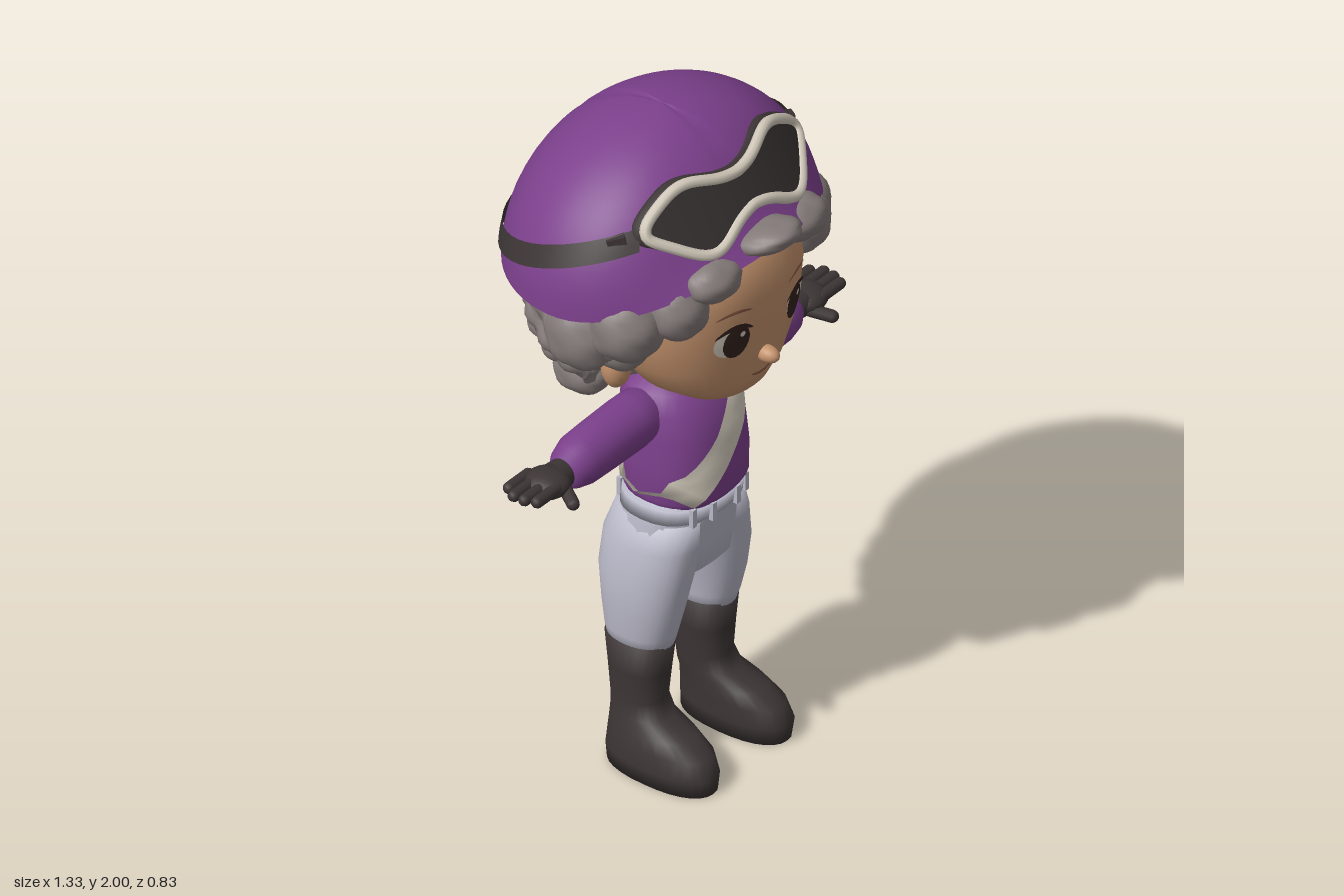
import * as THREE from 'three';
import { mergeVertices } from 'three/addons/utils/BufferGeometryUtils.js';

const mat = (name, color, side = THREE.FrontSide) => {
  const m = new THREE.MeshStandardMaterial({ color, side });
  m.name = name;
  return m;
};
const M = {
  purple: mat('purple cloth', 0x7c408c, THREE.DoubleSide),
  dark: mat('dark leather', 0x3d3535, THREE.DoubleSide),
  lens: mat('smoked lens', 0x363030, THREE.DoubleSide),
  cream: mat('cream', 0xd2cabb, THREE.DoubleSide),
  grey: mat('grey hair', 0x847b79),
  skin: mat('skin', 0xc4926c),
  trousers: mat('pale trousers', 0xb9b8c7),
  eye: mat('eye brown', 0x33211b, THREE.DoubleSide),
  lip: mat('lip brown', 0x8d5a46, THREE.DoubleSide),
};

// Grid of points to a smooth surface: rows go up, columns go from +x towards +z
function surface(rows, closed, caps = false) {
  const n = rows[0].length, pos = rows.flat(2), idx = [];
  for (let i = 0; i < rows.length - 1; i++) {
    for (let j = 0; j < (closed ? n : n - 1); j++) {
      const k = (j + 1) % n, a = i * n + j, b = a + n, c = i * n + k, d = c + n;
      idx.push(a, b, c, b, d, c);
    }
  }
  if (caps) [0, rows.length - 1].forEach((r, top) => {
    const c = pos.length / 3;
    pos.push(...[0, 1, 2].map(q => rows[r].reduce((s, p) => s + p[q], 0) / n));
    for (let j = 0; j < n; j++) {
      const a = r * n + j, b = r * n + (j + 1) % n;
      idx.push(c, top ? b : a, top ? a : b);
    }
  });
  const g = new THREE.BufferGeometry();
  g.setAttribute('position', new THREE.Float32BufferAttribute(pos, 3));
  g.setIndex(idx);
  g.computeVertexNormals();
  return g;
}

// Stacked oval sections: [y, centre x, half width, front z, back z]
const sp = (v, e) => Math.sign(v) * Math.abs(v) ** (2 / e);
function loft(rings, e = 2.2, side = 1, seg = 28) {
  return surface(rings.map(([y, cx, rx, zf, zb]) => Array.from({ length: seg }, (_, j) => {
    const a = j / seg * Math.PI * 2;
    return [side * cx + rx * sp(Math.cos(a), e), y, (zf + zb) / 2 + (zf - zb) / 2 * sp(Math.sin(a), e)];
  })), true, true);
}

// z of a lofted surface at (x, y), on its front (dir 1) or back (dir -1)
function depth(rings, x, y, dir, e) {
  let i = 0;
  while (i < rings.length - 2 && rings[i + 1][0] < y) i++;
  const t = THREE.MathUtils.clamp((y - rings[i][0]) / (rings[i + 1][0] - rings[i][0]), 0, 1);
  const [rx, zf, zb] = [2, 3, 4].map(k => rings[i][k] + (rings[i + 1][k] - rings[i][k]) * t);
  const u = Math.min(Math.abs(x) / rx, 0.96);
  return (zf + zb) / 2 + dir * (zf - zb) / 2 * (1 - u ** e) ** (1 / e);
}

// Curly mass: a ball whose surface swells around evenly spread points
function curls(rx, ry, rz, cells, seg, rule) {
  const pts = Array.from({ length: cells }, (_, i) => {
    const y = 1 - 2 * (i + 0.5) / cells, r = Math.sqrt(1 - y * y), a = i * 2.39996;
    return new THREE.Vector3(r * Math.cos(a), y, r * Math.sin(a));
  });
  const raw = new THREE.SphereGeometry(1, seg, Math.round(seg * 0.65));
  raw.deleteAttribute('uv');
  raw.deleteAttribute('normal');
  const g = mergeVertices(raw, 1e-4), p = g.attributes.position, v = new THREE.Vector3();
  const reach = 12 / cells;
  for (let i = 0; i < p.count; i++) {
    v.fromBufferAttribute(p, i);
    const d2 = Math.min(...pts.map(q => q.distanceToSquared(v)));
    const k = 1.05 - 0.1 * Math.min(1, d2 / reach * 2), w = v.y < 0 ? 1 + 0.25 * v.y * v.y : 1;
    v.set(v.x * rx * k * w, v.y * ry * k, v.z * rz * k * w);
    if (rule) rule(v);
    p.setXYZ(i, v.x, v.y, v.z);
  }
  g.computeVertexNormals();
  return g;
}

const TORSO = [[0.825, 0, 0.155, 0.165, -0.1], [0.86, 0, 0.168, 0.188, -0.11], [0.95, 0, 0.172, 0.188, -0.12],
  [1.05, 0, 0.165, 0.178, -0.122], [1.12, 0, 0.16, 0.155, -0.12], [1.17, 0, 0.14, 0.115, -0.11], [1.2, 0, 0.08, 0.05, -0.1]];
const HEAD = [[1.215, 0, 0.08, 0.22, 0.06], [1.23, 0, 0.15, 0.268, 0.02], [1.28, 0, 0.22, 0.288, -0.05],
  [1.36, 0, 0.272, 0.303, -0.12], [1.45, 0, 0.298, 0.315, -0.15], [1.55, 0, 0.3, 0.325, -0.15],
  [1.64, 0, 0.285, 0.318, -0.15], [1.72, 0, 0.23, 0.26, -0.12]];
const BOOT = [[0, 0.155, 0.08, 0.255, -0.085], [0.05, 0.157, 0.083, 0.262, -0.088], [0.1, 0.152, 0.08, 0.24, -0.085],
  [0.135, 0.147, 0.074, 0.18, -0.083], [0.165, 0.14, 0.068, 0.1, -0.083], [0.21, 0.136, 0.066, 0.072, -0.085],
  [0.3, 0.134, 0.072, 0.08, -0.094], [0.395, 0.132, 0.08, 0.09, -0.104]];
const LEG = [[0.37, 0.13, 0.073, 0.085, -0.098], [0.42, 0.132, 0.078, 0.1, -0.108], [0.5, 0.13, 0.088, 0.12, -0.118],
  [0.6, 0.12, 0.1, 0.138, -0.132], [0.7, 0.1, 0.1, 0.148, -0.132], [0.78, 0.08, 0.09, 0.15, -0.11]];
const HIPS = [[0.56, 0, 0.07, 0.08, -0.08], [0.61, 0, 0.185, 0.135, -0.122], [0.7, 0, 0.195, 0.152, -0.13],
  [0.79, 0, 0.17, 0.16, -0.11], [0.845, 0, 0.166, 0.17, -0.1]];
const SLEEVE = [[0.1, 0, 0.07, 0.07, -0.075], [0.2, 0, 0.078, 0.078, -0.075], [0.32, 0.002, 0.076, 0.08, -0.07],
  [0.41, 0.004, 0.074, 0.08, -0.064], [0.455, 0, 0.06, 0.068, -0.052], [0.48, 0, 0.045, 0.052, -0.036]];

// Helmet point at angle a, t from crown (0) to rim (1)
const rim = a => 1.585 + 0.12 * Math.max(0, Math.sin(a)) ** 2;
function dome(a, t, grow = 1) {
  const u = t * Math.PI / 2, s = Math.max(0, Math.sin(a)), r = Math.sin(u) * grow;
  const front = 1 - 0.23 * s * (1 - t ** 6), seam = 1 - 0.012 * Math.exp(-((Math.cos(a) / 0.05) ** 2));
  return [0.48 * r * Math.cos(a), rim(a) + (2 - rim(a)) * Math.cos(u) * seam, -0.04 + 0.38 * r * front * Math.sin(a)];
}

// Goggle outline heights and curved face
const lobe = x => Math.exp(-(((Math.abs(x) - 0.18) / 0.1) ** 2));
const roundEnd = x => Math.sqrt(Math.max(0, 1 - (Math.abs(x) / 0.315) ** 5));
const upper = x => 1.84 + (0.05 + 0.035 * lobe(x)) * roundEnd(x) - 0.01 * (x / 0.3) ** 2;
const lower = x => 1.84 - (0.03 + 0.06 * lobe(x)) * roundEnd(x) - 0.01 * (x / 0.3) ** 2;
const goggleZ = (x, y) => 0.245 - (y - 1.84) * 0.65 - 0.95 * x * x;

export function createModel() {
  const model = new THREE.Group();
  const add = (name, geo, m, x = 0, y = 0, z = 0) => {
    const mesh = new THREE.Mesh(geo, m);
    mesh.name = name;
    mesh.position.set(x, y, z);
    model.add(mesh);
    return mesh;
  };
  const ball = (name, m, x, y, z, rx, ry, rz) =>
    add(name, new THREE.SphereGeometry(1, 18, 14), m, x, y, z).scale.set(rx, ry, rz);

  // Clothes on the body
  add('shirt', loft(TORSO, 2.4), M.purple);
  add('hips', loft(HIPS, 2.4), M.trousers);
  add('waistband', loft([[0.79, 0, 0.174, 0.167, -0.113], [0.835, 0, 0.172, 0.174, -0.108]], 2.4), M.trousers);
  add('collar', loft([[1.16, 0, 0.1, 0.06, -0.12], [1.2, 0, 0.085, 0.04, -0.115], [1.25, 0, 0.08, 0.035, -0.115]]), M.purple);
  add('neck', new THREE.CylinderGeometry(0.07, 0.07, 0.15, 20), M.skin, 0, 1.25, -0.03);
  for (const x of [-0.11, -0.05, 0.05, 0.11])
    for (const dir of [1, -1])
      add('beltLoop', new THREE.BoxGeometry(0.016, 0.055, 0.014), M.trousers, x, 0.812, depth(HIPS, x, 0.812, dir, 2.4) + dir * 0.009);

  // Sash: a closed band over the left shoulder and round the right hip
  const sashRow = (s, dir, lift = 0) => [-1, -0.5, 0, 0.5, 1].map(k => {
    const x = 0.125 - 0.275 * s + 0.034 * k, y = 1.165 - 0.285 * s - 0.03 * k;
    return [x + lift * 0.6, y + lift, dir ? depth(TORSO, x, y, dir, 2.4) + dir * 0.009 : 0.02];
  });
  const sash = [sashRow(0, 0, 0.034)];
  for (let i = 0; i <= 12; i++) sash.push(sashRow(i / 12, 1));
  sash.push(sashRow(1, 0, -0.02));
  for (let i = 12; i >= 0; i--) sash.push(sashRow(i / 12, -1));
  sash.push(sash[0]);
  add('sash', surface(sash, false), M.cream);

  // Limbs
  for (const s of [1, -1]) {
    add('trouserLeg', loft(LEG, 2.2, s), M.trousers);
    add('boot', loft(BOOT, 2.3, s), M.dark);
    add('sleeve', loft(SLEEVE, 2, -s), M.purple, 0, 1.1, 0).rotation.z = -s * Math.PI / 2;
    const cuff = add('gloveCuff', new THREE.CylinderGeometry(0.044, 0.04, 0.06, 18), M.dark, s * 0.485, 1.1, 0.008);
    cuff.rotation.z = -s * Math.PI / 2;
    ball('palm', M.dark, s * 0.54, 1.1, 0.005, 0.065, 0.036, 0.064);
    [[-0.05, 0.63], [-0.018, 0.65], [0.016, 0.648], [0.048, 0.635]].forEach(([z, tip]) => {
      const f = add('finger', new THREE.CapsuleGeometry(0.017, 0.08, 4, 10), M.dark, s * (tip - 0.04), 1.108, z);
      f.rotation.z = Math.PI / 2;
    });
    const thumb = add('thumb', new THREE.CapsuleGeometry(0.018, 0.06, 4, 10), M.dark, s * 0.53, 1.08, 0.07);
    thumb.rotation.set(Math.PI / 2 + 0.25, 0, -s * 0.5);
  }

  // Head and face
  add('head', loft(HEAD, 2.2, 1, 40), M.skin);
  ball('nose', M.skin, 0, 1.35, 0.312, 0.025, 0.024, 0.038);
  const decal = (name, m, cx, cy, rx, ry, off, bend = 0) => add(name, surface([0, 0.25, 0.5, 0.75, 1].map(r =>
    Array.from({ length: 20 }, (_, j) => {
      const a = j / 20 * Math.PI * 2, dx = r * rx * Math.cos(a);
      const x = cx + dx, y = cy + r * ry * Math.sin(a) + bend * (dx / rx) ** 2;
      return [x, y, depth(HEAD, x, y, 1, 2.2) + off];
    })), true), m);
  for (const s of [1, -1]) {
    ball('ear', M.skin, s * 0.305, 1.37, 0.05, 0.045, 0.07, 0.04);
    decal('eyeWhite', M.cream, s * 0.132, 1.452, 0.052, 0.048, 0.004);
    decal('iris', M.eye, s * 0.12, 1.45, 0.041, 0.052, 0.007);
    decal('eyeGlint', M.cream, s * 0.12 + 0.014, 1.472, 0.008, 0.009, 0.009);
    decal('upperLash', M.eye, s * 0.128, 1.502, 0.058, 0.008, 0.008, -0.024);
    decal('eyebrow', M.lip, s * 0.13, 1.55, 0.055, 0.005, 0.004, -0.012);
  }
  decal('mouth', M.lip, 0, 1.288, 0.045, 0.005, 0.005, 0.012);

  // Hair: curly back mass held behind the face line, plus front locks
  add('curlyHair', curls(0.43, 0.3, 0.335, 170, 96, v => {
    const y = v.y + 1.53, L = THREE.MathUtils;
    let lim = y < 1.45 ? L.mapLinear(Math.max(y, 1.34), 1.34, 1.45, 0, 0.1) : L.mapLinear(Math.min(y, 1.58), 1.45, 1.58, 0.1, 0.27);
    if (Math.abs(v.x) < 0.17 && y < 1.69) lim = Math.min(lim, 0.2);
    v.z = Math.min(v.z, lim + 0.02);
  }), M.grey, 0, 1.53, -0.02);
  for (const s of [1, -1])
    [[0.18, 1.675, 0.27, 0.09, 0.055, 0.07], [0.255, 1.6, 0.215, 0.09, 0.085, 0.08], [0.35, 1.56, 0.12, 0.1, 0.1, 0.1],
      [0.32, 1.46, 0.08, 0.07, 0.07, 0.07], [0.39, 1.5, 0.0, 0.08, 0.1, 0.1], [0.3, 1.3, -0.07, 0.06, 0.06, 0.08]]
      .forEach(([x, y, z, a, b, c]) => add('hairLock', curls(a, b, c, 16, 28), M.grey, s * x, y, z));
  add('frontTuft', curls(0.095, 0.038, 0.1, 16, 28), M.grey, 0, 1.728, 0.305).rotation.x = -0.35;

  // Helmet with centre seam
  const ringOf = (f, n) => Array.from({ length: n }, (_, j) => f(j / n * Math.PI * 2));
  const ts = Array.from({ length: 19 }, (_, i) => 1 - i / 18);
  add('helmet', surface(ts.map(t => ringOf(a => dome(a, t), 72)), true), M.purple);
  add('helmetLining', surface([0, 1].map(k => ringOf(a => dome(a, 1 - k * 0.04, 1 - k * 0.14), 72)), true), M.purple);

  // Goggle strap hugging the helmet, leaving the goggle front open
  const strapPoint = (a, half) => {
    let t = 0.9;
    for (let i = 0; i < 25; i++) {
      const y = 1.615 + (dome(a, t)[2] + 0.41) * 0.37 + half;
      const c = THREE.MathUtils.clamp((y - rim(a)) / (2 - rim(a)), 0, 0.95);
      t = 0.5 * t + Math.acos(c) / Math.PI;
    }
    return dome(a, t, 1.022);
  };
  add('goggleStrap', surface([-0.03, 0, 0.03].map(h => Array.from({ length: 50 }, (_, j) =>
    strapPoint(Math.PI * (0.78 + 1.44 * j / 49), h))), false), M.dark);

  // Goggles
  const xs = Array.from({ length: 41 }, (_, i) => -0.315 * Math.cos(i / 40 * Math.PI));
  add('goggleLens', surface([0, 0.5, 1].map(k => xs.map(x => {
    const y = lower(x) + (upper(x) - lower(x)) * k;
    return [x, y, goggleZ(x, y) + 0.006];
  }).reverse()), false), M.lens);
  const rimCurve = (grow, back) => new THREE.CatmullRomCurve3(
    [...xs.map(x => [x, upper(x)]), ...xs.slice(1, -1).reverse().map(x => [x, lower(x)])]
      .map(([x, y]) => new THREE.Vector3(x * grow, 1.84 + (y - 1.84) * grow - back * 0.4, goggleZ(x, y) - back)), true);
  add('goggleFrame', new THREE.TubeGeometry(rimCurve(1, 0), 120, 0.016, 8, true), M.cream);
  add('gogglePadding', new THREE.TubeGeometry(rimCurve(1, 0.025), 120, 0.019, 8, true), M.dark);
  for (const s of [1, -1]) {
    const buckle = add('strapBuckle', new THREE.BoxGeometry(0.05, 0.075, 0.03), M.dark, s * 0.355, 1.79, 0.1);
    buckle.rotation.set(0, s * 0.9, -s * 0.3);
  }
  return model;
}
